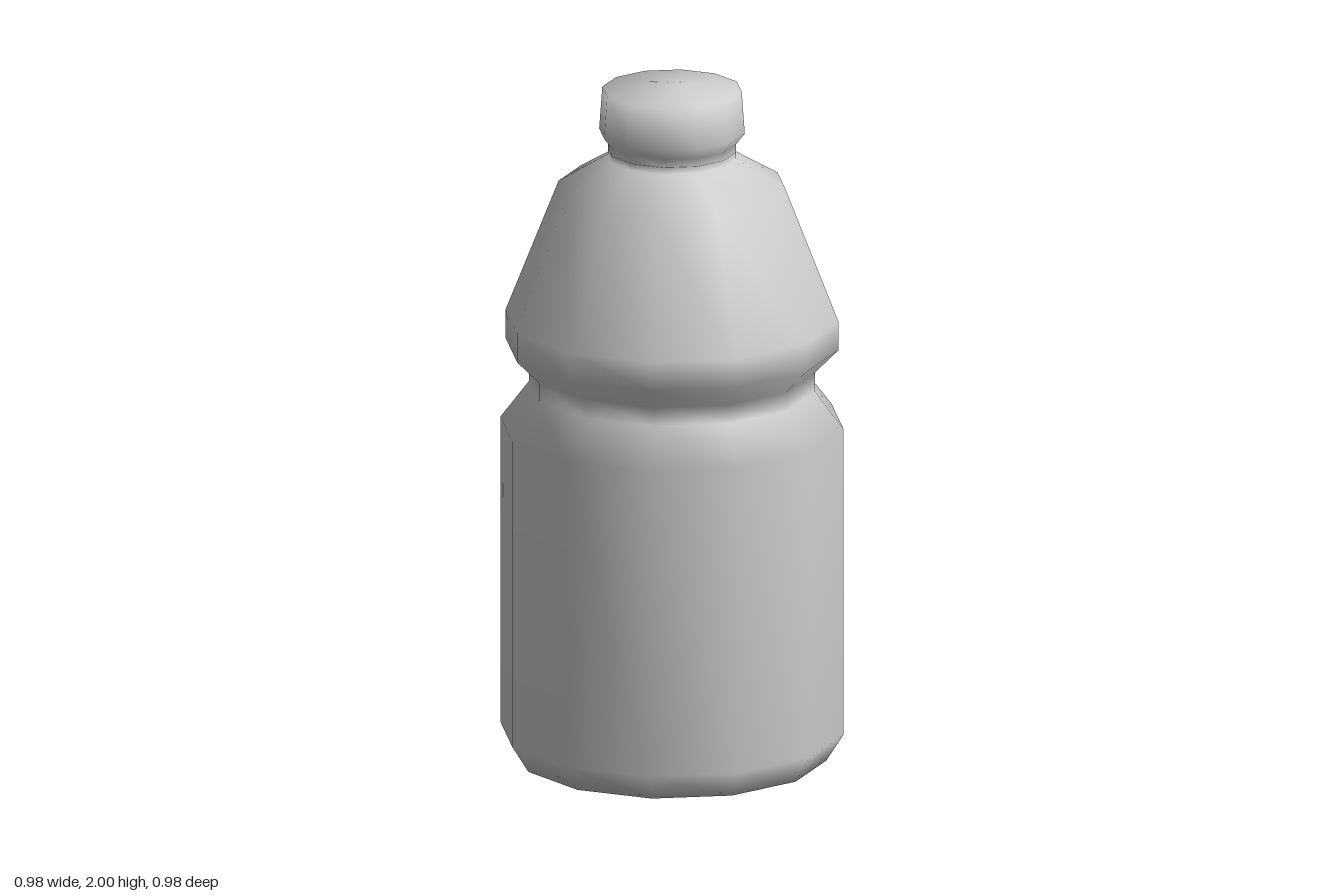
import * as THREE from 'three';

const SIDES = 12;
const TURN = -Math.PI / 24; // twist of the twelve-sided section

// Smooth low-poly turned part from [radius, height] pairs, bottom to top
function turned(name, profile, material) {
  const points = profile.map(([r, y]) => new THREE.Vector2(r, y));
  const mesh = new THREE.Mesh(new THREE.LatheGeometry(points, SIDES, TURN), material);
  mesh.name = name;
  return mesh;
}

export function createModel() {
  const group = new THREE.Group();
  group.name = 'bottle';
  const material = new THREE.MeshStandardMaterial({ color: 0xcccccc });

  // Bottle body: base, straight wall, grip groove, tapered shoulder, neck
  group.add(turned('body', [
    [0, 0], [0.445, 0],
    [0.495, 0.08], [0.495, 0.99],
    [0.412, 1.1], [0.412, 1.155],
    [0.48, 1.225], [0.48, 1.31],
    [0.327, 1.7],
    [0.185, 1.785], [0.185, 1.805],
  ], material));

  // Screw cap with a slightly domed top, meeting the body halfway up the neck
  group.add(turned('cap', [
    [0.185, 1.805], [0.185, 1.828],
    [0.21, 1.86], [0.201, 1.985],
    [0, 2],
  ], material));

  return group;
}
